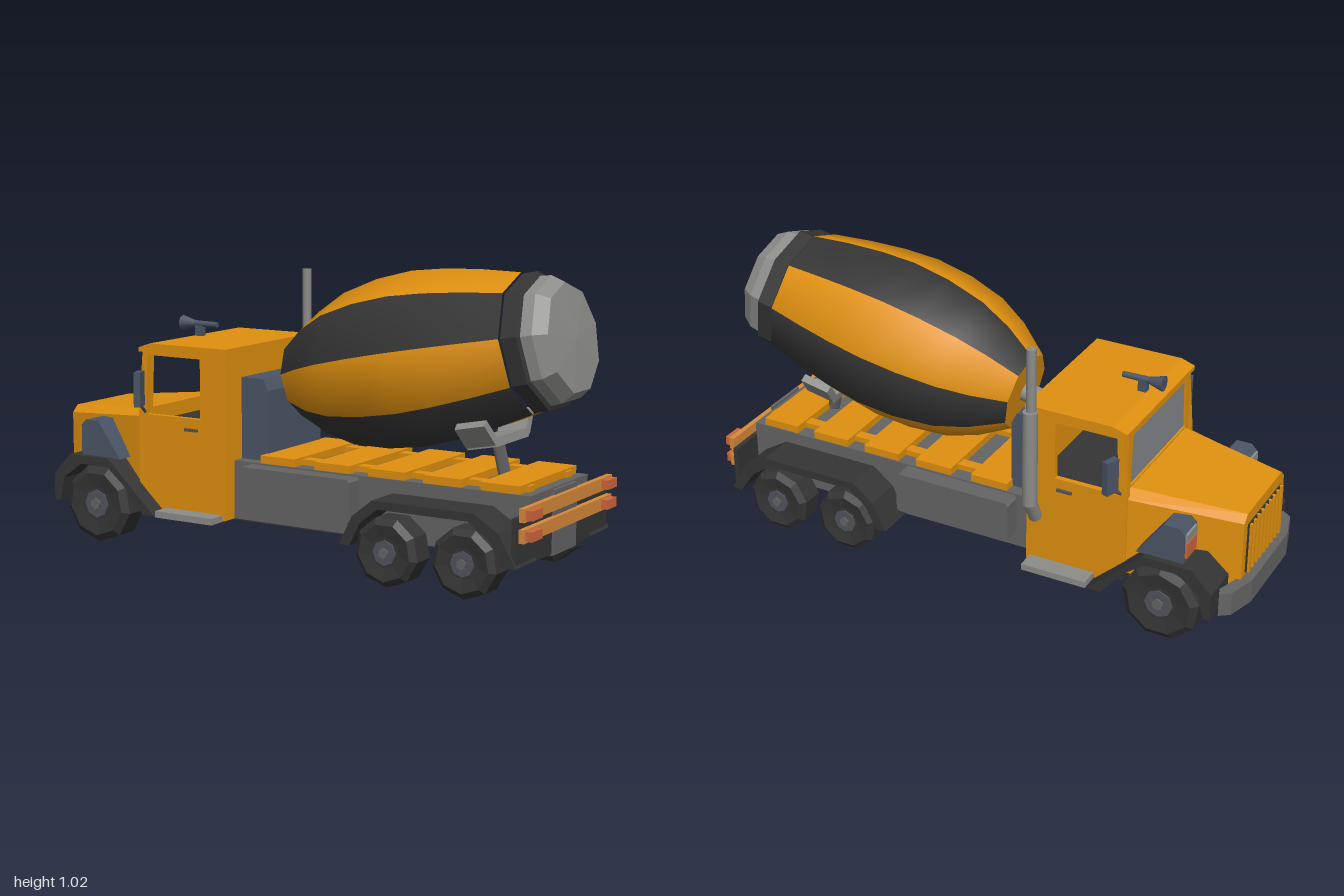
import * as THREE from 'three';
import { mergeGeometries } from 'three/addons/utils/BufferGeometryUtils.js';

const mat = (name, color) => {
  const m = new THREE.MeshStandardMaterial({ color });
  m.name = name;
  return m;
};

export function createModel() {
  const orange = mat('orange paint', 0xe0900f), black = mat('black rubber', 0x353535);
  const grey = mat('chassis grey', 0x646464), light = mat('light grey metal', 0x8c8c89);
  const blue = mat('blue grey steel', 0x4b5566), wood = mat('pale orange board', 0xd88a38);
  const lamp = mat('lamp red', 0xd0663e), hubGrey = mat('hub grey', 0x50545c);
  const glass = mat('windscreen glass', 0x858a8e);
  const root = new THREE.Group();

  const flat = (g) => {
    const n = g.index ? g.toNonIndexed() : g;
    n.computeVertexNormals();
    return n;
  };
  const add = (name, geo, m, parent = root) => {
    const mesh = new THREE.Mesh(geo, m);
    mesh.name = name;
    parent.add(mesh);
    return mesh;
  };
  const box = (name, m, x0, x1, y0, y1, z0, z1, parent) => {
    const mesh = add(name, new THREE.BoxGeometry(x1 - x0, y1 - y0, Math.abs(z1 - z0)), m, parent);
    mesh.position.set((x0 + x1) / 2, (y0 + y1) / 2, (z0 + z1) / 2);
    return mesh;
  };
  const shapeOf = (pts, hole) => {
    const s = new THREE.Shape(pts.map((p) => new THREE.Vector2(...p)));
    if (hole) s.holes.push(new THREE.Path(hole.map((p) => new THREE.Vector2(...p))));
    return s;
  };
  const extrude = (pts, depth, hole) =>
    new THREE.ExtrudeGeometry(shapeOf(pts, hole), { depth, bevelEnabled: false });
  // Side profile in x,y pushed from z0 to z1, whichever is smaller first
  const prism = (name, m, pts, z0, z1, hole) => {
    const mesh = add(name, extrude(pts, Math.abs(z1 - z0), hole), m);
    mesh.position.z = Math.min(z0, z1);
    return mesh;
  };
  const rod = (name, m, a, b, r0, r1 = r0, sides = 10, parent = root) => {
    const A = new THREE.Vector3(...a), B = new THREE.Vector3(...b), d = B.clone().sub(A);
    const mesh = add(name, new THREE.CylinderGeometry(r1, r0, d.length(), sides), m, parent);
    mesh.position.copy(A).add(B).multiplyScalar(0.5);
    mesh.quaternion.setFromUnitVectors(new THREE.Vector3(0, 1, 0), d.normalize());
    return mesh;
  };
  const profile = (pts) => pts.map((p) => new THREE.Vector2(...p));

  // Mixer drum: nine facets around a tilted axis, painted in stripes
  const drum = new THREE.Group();
  drum.name = 'mixerDrum';
  drum.position.set(-0.069, 0.612, 0);
  drum.rotation.z = 0.197 - Math.PI / 2;
  root.add(drum);
  const side = profile([[0.14, 0], [0.215, 0.11], [0.264, 0.22], [0.292, 0.36], [0.3, 0.5],
    [0.288, 0.63], [0.266, 0.76], [0.235, 0.9]]);
  const step = (Math.PI * 2) / 9, top = -Math.PI / 2;
  const stripes = { O: [], B: [] };
  [...'OBOBOOBOB'].forEach((c, i) =>
    stripes[c].push(new THREE.LatheGeometry(side, 1, top + i * step, step)));
  add('drumOrangeStripes', mergeGeometries(stripes.O), orange, drum);
  add('drumBlackStripes', mergeGeometries(stripes.B), black, drum);
  const ring = (name, m, pts) =>
    add(name, flat(new THREE.LatheGeometry(profile(pts), 9, top, Math.PI * 2)), m, drum);
  ring('drumHead', orange, [[0, 0], [0.14, 0]]);
  ring('drumCollar', black, [[0.2, 0.895], [0.23, 0.905], [0.23, 0.96], [0.2, 0.972]]);
  ring('drumCap', light, [[0.214, 0.965], [0.21, 1.005], [0.182, 1.048], [0, 1.058]]);
  rod('drumAxle', light, [0, -0.06, 0], [0, 0.01, 0], 0.035, 0.035, 10, drum);

  // Drum drive housing behind the cab
  prism('driveHousing', blue, [[-0.215, 0.31], [-0.12, 0.31], [-0.105, 0.36], [-0.105, 0.58],
    [-0.125, 0.62], [-0.215, 0.62]], -0.168, 0.168);

  // Chassis, deck planks and rails
  box('chassis', grey, -0.22, 0.92, 0.13, 0.335, -0.215, 0.215);
  box('underside', black, -0.9, 0.92, 0.122, 0.132, -0.2, 0.2);
  for (const x of [-0.04, 0.18, 0.39, 0.6, 0.81])
    box('deckPlank', orange, x - 0.07, x + 0.07, 0.335, 0.362, -0.21, 0.21);
  for (const s of [1, -1]) {
    box('deckRail', orange, -0.1, 0.89, 0.335, 0.355, s * 0.12, s * 0.16);
    const z = s * 0.215;
    prism('sideTank', grey, [[-0.15, 0.19], [-0.14, 0.18], [0.28, 0.18], [0.29, 0.19],
      [0.29, 0.32], [0.28, 0.33], [-0.14, 0.33], [-0.15, 0.32]], z, s * 0.28);
  }

  // Drum cradle on a post
  const cradle = new THREE.Group();
  cradle.name = 'drumCradle';
  cradle.position.set(0.69, 0.48, 0);
  cradle.rotation.z = 0.2;
  root.add(cradle);
  box('cradleBase', light, -0.055, 0.055, -0.03, 0, -0.115, 0.115, cradle);
  for (const s of [1, -1]) {
    const arm = box('cradleArm', light, -0.055, 0.055, -0.014, 0.014, -0.045, 0.045, cradle);
    arm.position.set(0, 0.02, s * 0.14);
    arm.rotation.x = -s * 0.9;
  }
  rod('cradlePost', grey, [0.72, 0.35, 0], [0.69, 0.47, 0], 0.024, 0.024, 4);

  // Cab shell with open side windows
  for (const s of [1, -1]) {
    prism('cabSide', orange, [[-0.215, 0.13], [-0.215, 0.71], [-0.565, 0.71], [-0.585, 0.48],
      [-0.585, 0.22], [-0.49, 0.13]], s * 0.248, s * 0.268,
    [[-0.553, 0.475], [-0.32, 0.475], [-0.32, 0.685], [-0.543, 0.685]]);
    box('doorHandle', hubGrey, -0.385, -0.33, 0.43, 0.44, s * 0.266, s * 0.276);
    box('doorStep', light, -0.47, -0.23, 0.125, 0.148, s * 0.25, s * 0.335);
  }
  box('cabBack', orange, -0.235, -0.215, 0.13, 0.71, -0.25, 0.25);
  box('cabFloor', black, -0.57, -0.235, 0.135, 0.44, -0.248, 0.248);
  prism('cabRoof', orange, [[-0.58, 0.695], [-0.21, 0.695], [-0.21, 0.727], [-0.53, 0.727],
    [-0.58, 0.71]], -0.273, 0.273);
  const screen = extrude([[-0.25, 0.46], [0.25, 0.46], [0.25, 0.7], [-0.25, 0.7]], 0.02,
    [[-0.225, 0.495], [0.225, 0.495], [0.215, 0.68], [-0.215, 0.68]]);
  screen.rotateY(-Math.PI / 2);
  add('windscreenFrame', screen, orange).position.x = -0.556;
  const pane = add('windscreen', new THREE.PlaneGeometry(0.45, 0.19), glass);
  pane.position.set(-0.568, 0.588, 0);
  pane.rotation.y = -Math.PI / 2;

  // Hood: a chamfered section narrowing and dropping towards the nose
  const hood = extrude([[-0.265, 0.18], [0.265, 0.18], [0.265, 0.465], [0.225, 0.49],
    [-0.225, 0.49], [-0.265, 0.465]], 0.385);
  hood.rotateY(-Math.PI / 2);
  const hp = hood.attributes.position;
  for (let i = 0; i < hp.count; i++) {
    const t = -hp.getX(i) / 0.385;
    hp.setZ(i, hp.getZ(i) * (1 - 0.33 * t));
    if (hp.getY(i) > 0.3) hp.setY(i, hp.getY(i) - 0.032 * t);
  }
  add('hood', flat(hood), orange).position.x = -0.575;

  // Grille and front bumper
  box('grille', black, -0.966, -0.958, 0.23, 0.415, -0.145, 0.145);
  for (let i = -4; i <= 4; i++)
    box('grilleSlat', orange, -0.974, -0.962, 0.23, 0.415, i * 0.034 - 0.006, i * 0.034 + 0.006);
  const bow = extrude([[-0.93, -0.29], [-0.965, -0.265], [-0.995, -0.16], [-0.995, 0.16],
    [-0.965, 0.265], [-0.93, 0.29], [-0.92, 0.26], [-0.955, 0.15], [-0.955, -0.15],
    [-0.92, -0.26]].reverse(), 0.085);
  bow.rotateX(-Math.PI / 2);
  add('frontBumper', bow, grey).position.y = 0.135;

  // Wheels with chamfered nine-sided tyres
  const wheel = (name, x, y, r, z0, z1, s) => {
    const g = new THREE.Group();
    g.name = name;
    g.position.set(x, y, s * (z0 + z1) / 2);
    g.rotation.x = s * Math.PI / 2;
    root.add(g);
    const h = (z1 - z0) / 2, c = 0.018;
    const tyre = profile([[0, -h], [r * 0.82, -h], [r, -h + c], [r, h - c], [r * 0.82, h],
      [r * 0.45, h - 0.008], [0, h - 0.008]]);
    add('tyre', flat(new THREE.LatheGeometry(tyre, 9)), black, g);
    rod('hub', hubGrey, [0, 0, 0], [0, h - 0.002, 0], r * 0.36, r * 0.36, 8, g);
    rod('hubCap', grey, [0, 0, 0], [0, h + 0.005, 0], r * 0.15, r * 0.15, 6, g);
  };
  for (const s of [1, -1]) {
    wheel('frontWheel', -0.735, 0.143, 0.14, 0.215, 0.332, s);
    for (const x of [0.465, 0.75]) wheel('rearWheel', x, 0.121, 0.118, 0.236, 0.352, s);

    // Fenders
    prism('frontFender', black, [[-0.92, 0.14], [-0.92, 0.235], [-0.85, 0.312], [-0.675, 0.312],
      [-0.475, 0.128], [-0.525, 0.128], [-0.61, 0.225], [-0.68, 0.282], [-0.8, 0.282],
      [-0.875, 0.225], [-0.895, 0.14]], s * 0.17, s * 0.335);
    prism('rearFender', black, [[0.295, 0.13], [0.345, 0.23], [0.42, 0.29], [0.79, 0.29],
      [0.88, 0.235], [0.94, 0.13], [0.9, 0.13], [0.845, 0.21], [0.77, 0.262], [0.44, 0.262],
      [0.375, 0.21], [0.335, 0.13]], s * 0.2, s * 0.352);

    // Headlamp housing with indicator
    prism('lampHousing', blue, [[-0.81, 0.31], [-0.81, 0.42], [-0.79, 0.44], [-0.735, 0.44],
      [-0.64, 0.31]], s * 0.18, s * 0.312);
    box('indicator', lamp, -0.818, -0.808, 0.33, 0.385, s * 0.225, s * 0.305);
    box('headlamp', light, -0.818, -0.808, 0.39, 0.42, s * 0.225, s * 0.305);

    // Mirror on its arm
    const mirror = box('mirror', blue, -0.012, 0.012, 0.51, 0.632, -0.026, 0.026);
    mirror.position.set(-0.545, 0.571, s * 0.318);
    mirror.rotation.y = s * 0.35;
    rod('mirrorArm', hubGrey, [-0.56, 0.48, s * 0.262], [-0.545, 0.52, s * 0.318], 0.006, 0.006, 6);

    // Tail lamps
    for (const y of [0.23, 0.297])
      box('tailLamp', lamp, 0.95, 0.98, y - 0.016, y + 0.016, s * 0.247, s * 0.32);
  }

  // Rear boards and mud guard
  box('mudGuard', black, 0.918, 0.935, 0.125, 0.287, -0.34, 0.34);
  box('rearPlate', grey, 0.93, 0.942, 0.12, 0.335, -0.085, 0.085);
  for (const y of [0.23, 0.297]) box('rearBoard', wood, 0.938, 0.957, y - 0.022, y + 0.022, -0.33, 0.33);

  // Exhaust stack
  rod('exhaustFoot', light, [-0.25, 0.31, -0.27], [-0.25, 0.39, -0.312], 0.024);
  rod('exhaustSilencer', light, [-0.25, 0.38, -0.312], [-0.25, 0.73, -0.312], 0.026);
  rod('exhaustPipe', light, [-0.25, 0.72, -0.306], [-0.25, 0.957, -0.306], 0.017);

  // Roof horn
  box('hornStand', blue, -0.525, -0.495, 0.72, 0.765, -0.012, 0.012);
  rod('hornBell', blue, [-0.585, 0.77, 0], [-0.53, 0.77, 0], 0.028, 0.012, 8);
  rod('hornTube', blue, [-0.535, 0.77, 0], [-0.435, 0.77, 0], 0.012, 0.01, 8);

  return root;
}
